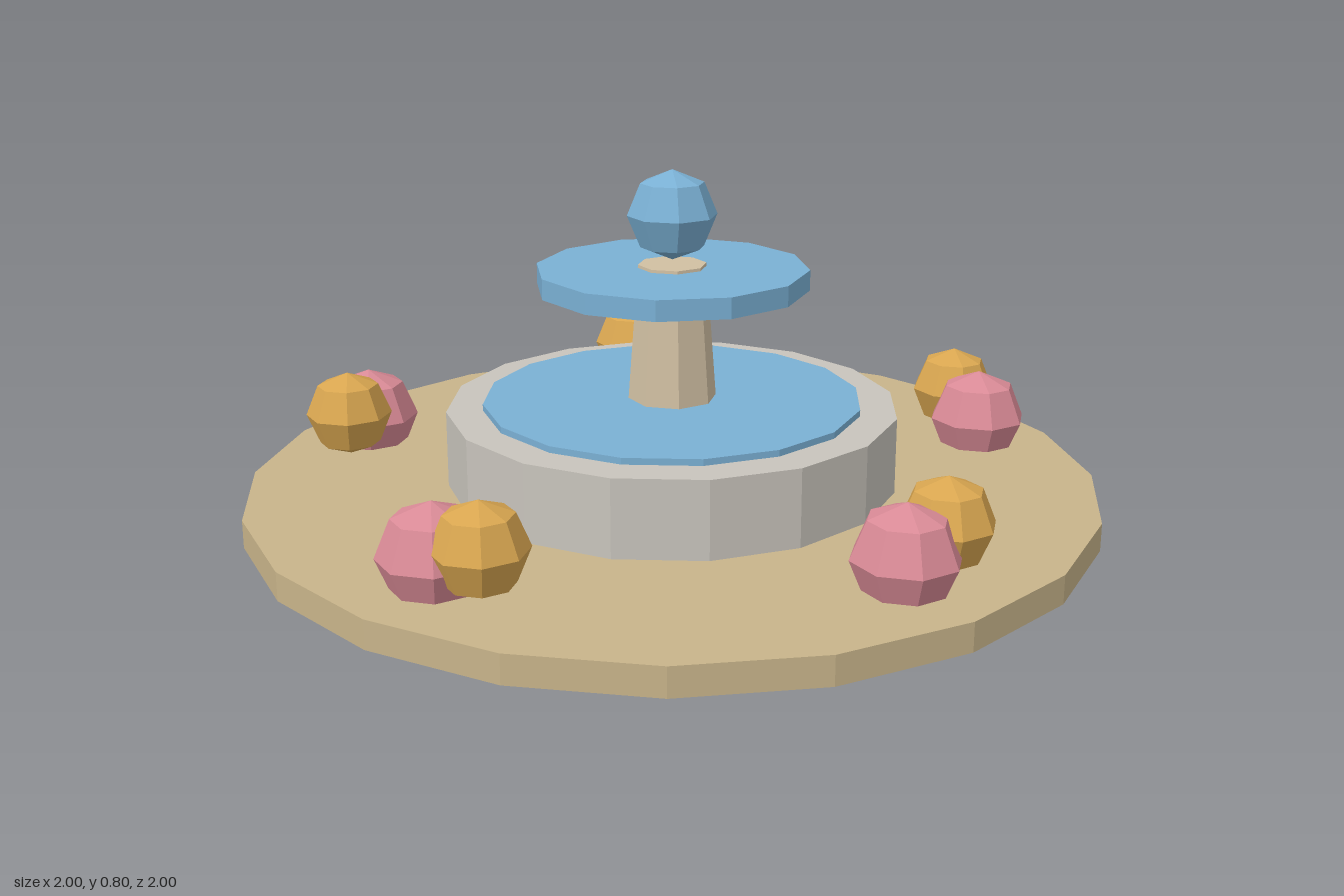
import * as THREE from 'three';

const flat = (name, color) => {
  const m = new THREE.MeshStandardMaterial({ color, flatShading: true });
  m.name = name;
  return m;
};

export function createModel() {
  const group = new THREE.Group();
  group.name = 'fountain';

  const sand = flat('sand paving', 0xc8b48a);
  const stone = flat('grey stone', 0xc8c4bc);
  const columnStone = flat('warm stone', 0xd0bfa2);
  const water = flat('water blue', 0x7ab0d4);
  const pink = flat('pink petals', 0xd98a96);
  const gold = flat('golden petals', 0xd9a650);

  const add = (name, geometry, material, x, y, z) => {
    const mesh = new THREE.Mesh(geometry, material);
    mesh.name = name;
    mesh.position.set(x, y, z);
    group.add(mesh);
  };

  // Upright faceted drum between two heights
  const drum = (name, rTop, rBottom, y0, y1, sides, material) =>
    add(name, new THREE.CylinderGeometry(rTop, rBottom, y1 - y0, sides), material, 0, (y0 + y1) / 2, 0);

  drum('pavedBase', 1, 1, 0, 0.065, 20, sand);
  drum('basin', 0.53, 0.53, 0.065, 0.245, 16, stone);
  drum('basinWater', 0.445, 0.445, 0.225, 0.26, 16, water);
  drum('column', 0.08, 0.105, 0.245, 0.58, 8, columnStone);
  drum('upperBowl', 0.318, 0.318, 0.525, 0.573, 12, water);

  // Water ball on top
  add('waterBall', new THREE.SphereGeometry(0.105, 8, 4 + 0), water, 0, 0.695, 0);

  // Five pairs of flower bushes around the basin
  const pinkBush = new THREE.SphereGeometry(0.118, 8, 4);
  const goldBush = new THREE.SphereGeometry(0.103, 8, 4);
  for (let i = 0; i < 5; i++) {
    const a = (i * Math.PI * 2) / 5;
    const b = a + 0.15;
    add('pinkBush', pinkBush, pink, 0.805 * Math.sin(a), 0.13, 0.805 * Math.cos(a));
    add('goldBush', goldBush, gold, 0.805 * Math.sin(b), 0.172, 0.805 * Math.cos(b));
  }
  return group;
}
